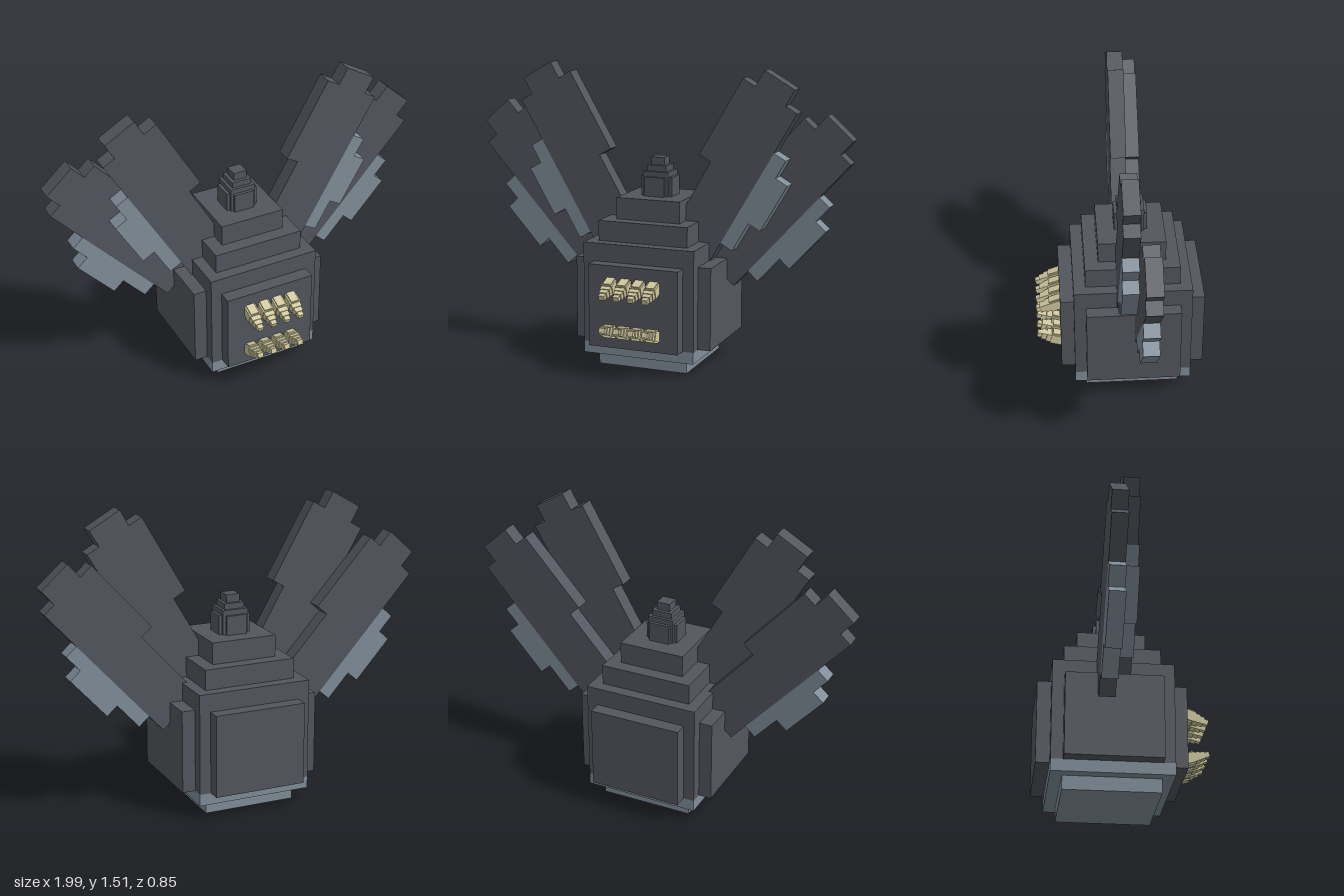
import * as THREE from 'three';

export function createModel() {
  const model = new THREE.Group();
  const mat = (name, color) => {
    const m = new THREE.MeshStandardMaterial({ color });
    m.name = name;
    return m;
  };
  const dark = mat('dark slate', 0x53565e);
  const pale = mat('pale blue grey', 0x808d99);
  const bone = mat('bone', 0xcfc89e);
  const CZ = -0.063; // depth of the body axis

  // box from half width, height range and half depth, centred on the body axis
  const block = (name, material, hx, y0, y1, hz) => {
    const mesh = new THREE.Mesh(new THREE.BoxGeometry(hx * 2, y1 - y0, hz * 2), material);
    mesh.name = name;
    mesh.position.set(0, (y0 + y1) / 2, CZ);
    model.add(mesh);
  };

  // Stepped body
  block('foot', pale, 0.238, 0, 0.07, 0.238);
  block('lowerRim', pale, 0.295, 0.07, 0.13, 0.297);
  block('bodyCore', dark, 0.295, 0.13, 0.642, 0.297);
  block('frontBackPlates', dark, 0.238, 0.13, 0.55, 0.365);
  block('sidePlates', dark, 0.362, 0.13, 0.55, 0.238);
  block('shoulder', dark, 0.238, 0.642, 0.745, 0.238);
  block('crown', dark, 0.17, 0.745, 0.855, 0.17);

  // Top knob
  block('knobCore', dark, 0.067, 0.855, 0.98, 0.067);
  block('knobSides', dark, 0.083, 0.855, 0.953, 0.053);
  block('knobFrontBack', dark, 0.053, 0.855, 0.953, 0.083);
  block('knobStep', dark, 0.052, 0.98, 1.01, 0.052);
  block('knobTip', dark, 0.035, 1.01, 1.05, 0.035);

  // Wing outlines: u runs outward across the wing, v runs along it
  const blade = [
    [-0.265, 0.625], [-0.015, 0.625], [-0.015, 1.505], [-0.084, 1.505], [-0.084, 1.597],
    [-0.261, 1.597], [-0.261, 1.505], [-0.335, 1.505], [-0.335, 1.06], [-0.265, 1.06],
  ];
  const edge = [
    [-0.015, 0.736], [0.055, 0.736], [0.055, 0.904], [0.125, 0.904],
    [0.125, 1.175], [0.055, 1.175], [0.055, 1.277], [-0.015, 1.277],
  ];
  const wing = (name, side, degrees, du, dv, z) => {
    const a = THREE.MathUtils.degToRad(degrees), s = Math.sin(a), c = Math.cos(a);
    const group = new THREE.Group();
    group.name = name;
    for (const [part, outline, material] of [['blade', blade, dark], ['trailingEdge', edge, pale]]) {
      const shape = new THREE.Shape(outline.map(([u, v]) => new THREE.Vector2(
        side * (c * (u + du) + s * (v + dv)), c * (v + dv) - s * (u + du))));
      const mesh = new THREE.Mesh(
        new THREE.ExtrudeGeometry(shape, { depth: 0.08, bevelEnabled: false }), material);
      mesh.name = part;
      mesh.position.z = z;
      group.add(mesh);
    }
    model.add(group);
  };
  for (const [label, side] of [['left', 1], ['right', -1]]) {
    wing(label + 'UpperWing', side, 30, 0, 0, -0.061);
    wing(label + 'LowerWing', side, 42, 0.036, -0.053, -0.145);
  }

  // Tapering teeth made of stepped segments: [half width, half height, start, end]
  const segments = [
    [0.030, 0.026, -0.02, 0.055], [0.022, 0.033, -0.02, 0.05],
    [0.026, 0.022, 0.055, 0.08], [0.021, 0.018, 0.08, 0.105], [0.015, 0.013, 0.105, 0.128],
  ];
  for (const [row, y, tilt] of [['upperTooth', 0.456, 0.34], ['lowerTooth', 0.213, -0.3]]) {
    for (let i = 0; i < 4; i++) {
      const tooth = new THREE.Group();
      tooth.name = row;
      for (const [hw, hh, z0, z1] of segments) {
        const mesh = new THREE.Mesh(new THREE.BoxGeometry(hw * 2, hh * 2, z1 - z0), bone);
        mesh.name = 'toothSegment';
        mesh.position.z = (z0 + z1) / 2;
        tooth.add(mesh);
      }
      tooth.position.set(-0.115 + i * 0.0757, y, 0.3);
      tooth.rotation.x = tilt;
      model.add(tooth);
    }
  }
  return model;
}
